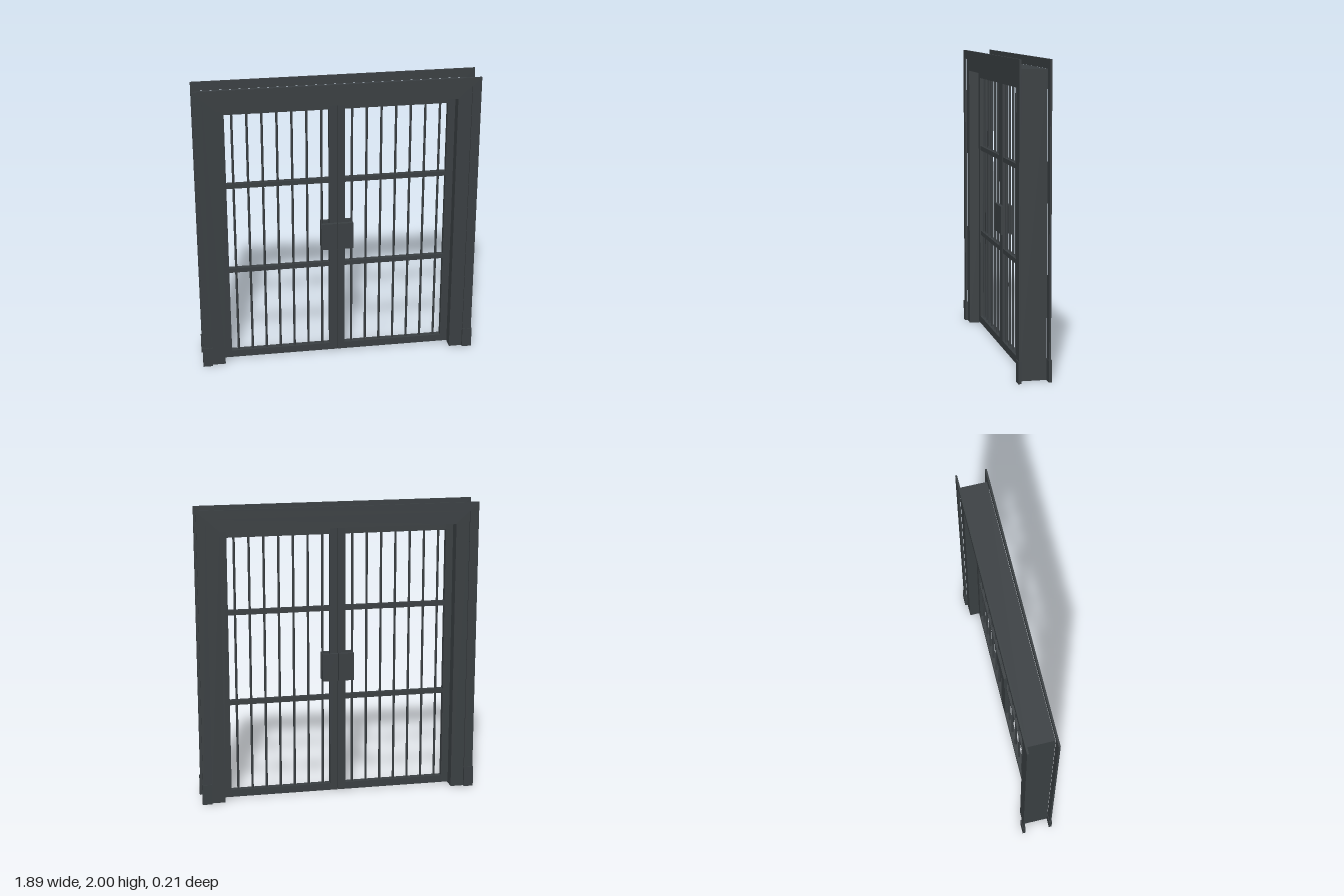
import * as THREE from 'three';

export function createModel() {
  const gate = new THREE.Group();
  gate.name = 'barredDoubleGate';
  const metal = new THREE.MeshStandardMaterial({ color: 0x3a3f42 });

  const add = (parent, name, geometry, x = 0, y = 0, z = 0) => {
    const mesh = new THREE.Mesh(geometry, metal);
    mesh.name = name;
    mesh.position.set(x, y, z);
    parent.add(mesh);
    return mesh;
  };
  // Box given by its limits on each axis
  const box = (parent, name, x0, x1, y0, y1, z0, z1) =>
    add(parent, name, new THREE.BoxGeometry(x1 - x0, y1 - y0, z1 - z0),
      (x0 + x1) / 2, (y0 + y1) / 2, (z0 + z1) / 2);

  // Upside-down U standing on the ground, extruded from z0 to z1
  const portal = (name, outerX, outerY, innerX, innerY, z0, z1) => {
    const shape = new THREE.Shape([
      [-outerX, 0], [-innerX, 0], [-innerX, innerY], [innerX, innerY],
      [innerX, 0], [outerX, 0], [outerX, outerY], [-outerX, outerY],
    ].map(([x, y]) => new THREE.Vector2(x, y)));
    const geometry = new THREE.ExtrudeGeometry(shape, { depth: z1 - z0, bevelEnabled: false });
    add(gate, name, geometry, 0, 0, z0);
  };

  // Door frame with a casing on each face
  portal('doorFrame', 0.88, 1.94, 0.79, 1.855, -0.088, 0.088);
  portal('frontCasing', 0.94, 2, 0.88, 1.94, 0.09, 0.102);
  portal('backCasing', 0.94, 2, 0.88, 1.94, -0.102, -0.09);

  // Plinth blocks at the feet of the casings
  for (const side of [-1, 1]) {
    for (const face of [-1, 1]) {
      add(gate, 'plinth', new THREE.BoxGeometry(0.066, 0.14, 0.02), side * 0.912, 0.07, face * 0.097);
    }
  }

  // Two mirrored barred leaves
  const inner = 0.053, outer = 0.738, bottom = 0.06, top = 1.805;
  const barCount = 7, pitch = (outer - inner) / barCount;
  const barGeometry = new THREE.CylinderGeometry(0.008, 0.008, top - bottom, 12);
  for (const side of [-1, 1]) {
    const leaf = new THREE.Group();
    leaf.name = side > 0 ? 'leftLeaf' : 'rightLeaf';
    gate.add(leaf);
    const span = (name, a, b, y0, y1, z0, z1) =>
      box(leaf, name, Math.min(side * a, side * b), Math.max(side * a, side * b), y0, y1, z0, z1);

    span('meetingStile', 0.002, inner, 0.01, 1.85, -0.02, 0.02);
    span('hingeStile', outer, 0.787, 0.01, 1.85, -0.02, 0.02);
    span('bottomRail', inner, outer, 0.01, bottom, -0.02, 0.02);
    span('topRail', inner, outer, top, 1.85, -0.02, 0.02);
    for (const y of [0.68, 1.3]) {
      span('crossRail', inner, outer, y - 0.016, y + 0.016, -0.016, 0.016);
    }
    for (let i = 0; i < barCount; i++) {
      add(leaf, 'bar', barGeometry, side * (inner + (i + 0.5) * pitch), (top + bottom) / 2, 0);
    }
    // Lock plates on both faces
    span('frontLockPlate', 0.002, 0.108, 0.8, 0.99, 0.02, 0.042);
    span('backLockPlate', 0.002, 0.108, 0.8, 0.99, -0.042, -0.02);
  }
  return gate;
}
